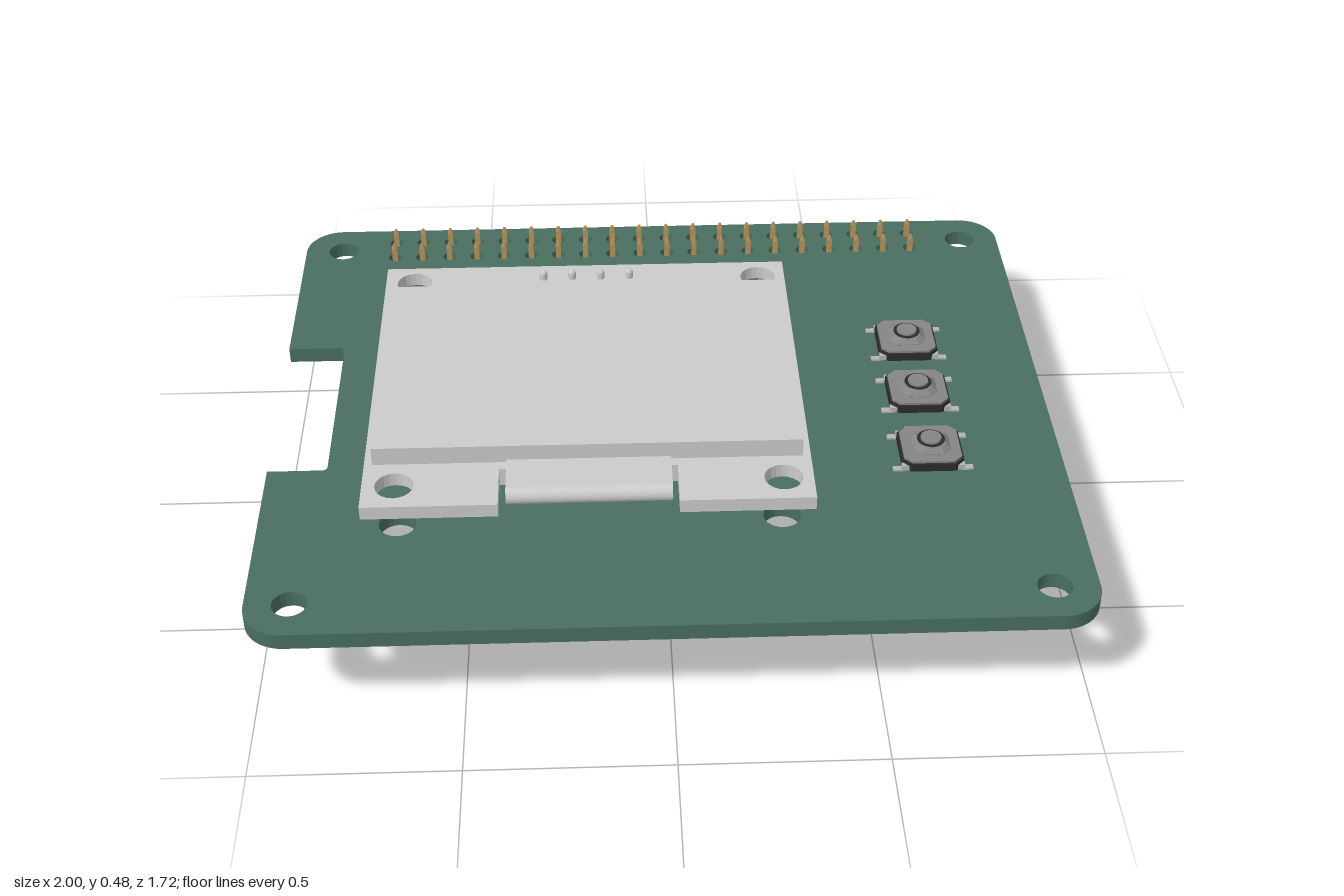
import * as THREE from 'three';

const material = (color) => new THREE.MeshStandardMaterial({ color });
const grey = material(0xcccccc);
const green = material(0x4a6e60);
const black = material(0x2c2c2c);
const gold = material(0xb8945a);
const steel = material(0x858585);
const silver = material(0xb4b4b4);

function add(parent, name, geometry, mat, x = 0, y = 0, z = 0) {
  const mesh = new THREE.Mesh(geometry, mat);
  mesh.name = name;
  mesh.position.set(x, y, z);
  parent.add(mesh);
  return mesh;
}

// box given by its limits
function block(parent, name, mat, [x0, x1], [y0, y1], [z0, z1]) {
  return add(parent, name, new THREE.BoxGeometry(x1 - x0, y1 - y0, z1 - z0), mat,
    (x0 + x1) / 2, (y0 + y1) / 2, (z0 + z1) / 2);
}

// horizontal plate from an outline in (x, -z), standing on y = 0
function plate(shape, height) {
  return new THREE.ExtrudeGeometry(shape, { depth: height, bevelEnabled: false, curveSegments: 10 })
    .rotateX(-Math.PI / 2);
}

const polygon = (points) => new THREE.Shape(points.map(([x, z]) => new THREE.Vector2(x, -z)));

function roundHole(shape, x, z, r) {
  const hole = new THREE.Path();
  hole.absarc(x, -z, r, 0, Math.PI * 2, true);
  shape.holes.push(hole);
}

// square with cut corners
function cutSquare(half, cut) {
  const k = half - cut;
  return polygon([[-k, half], [k, half], [half, k], [half, -k], [k, -half], [-k, -half], [-half, -k], [-half, k]]);
}

const PITCH = 0.0782;
const headerX = Array.from({ length: 20 }, (_, i) => (i - 9.5) * PITCH);
const headerZ = [-0.795, -0.717];
const displayPinX = [-0.31, -0.232, -0.154, -0.076];
const displayHoles = [[-0.66, -0.4], [0.275, -0.4], [-0.66, 0.475], [0.275, 0.475]];

function buildBoard(group) {
  const W = 1, D = 0.86, R = 0.1;
  const s = new THREE.Shape();
  s.moveTo(-W + R, -D);
  s.lineTo(W - R, -D);
  s.absarc(W - R, -D + R, R, -Math.PI / 2, 0, false);
  s.absarc(W - R, D - R, R, 0, Math.PI / 2, false);
  s.absarc(-W + R, D - R, R, Math.PI / 2, Math.PI, false);
  // cable notch in the side
  s.lineTo(-W, 0.27);
  s.lineTo(-0.865, 0.27);
  s.quadraticCurveTo(-0.85, 0.27, -0.85, 0.255);
  s.lineTo(-0.85, -0.245);
  s.quadraticCurveTo(-0.85, -0.26, -0.865, -0.26);
  s.lineTo(-W, -0.26);
  s.absarc(-W + R, -D + R, R, Math.PI, Math.PI * 1.5, false);
  for (const x of [-0.893, 0.893]) for (const z of [-0.755, 0.755]) roundHole(s, x, z, 0.042);
  for (const [x, z] of displayHoles) roundHole(s, x, z, 0.046);
  for (const x of headerX) for (const z of headerZ) roundHole(s, x, z, 0.019);
  for (const x of displayPinX) roundHole(s, x, -0.41, 0.018);
  add(group, 'circuitBoard', plate(s, 0.042), green, 0, 0.268, 0);
}

function buildHeader(group) {
  const header = new THREE.Group();
  header.name = 'socketHeader';
  group.add(header);
  block(header, 'headerTop', black, [-0.78, 0.78], [0.2, 0.258], [-0.832, -0.676]);
  // lower body with the open sockets
  const s = polygon([[-0.78, -0.676], [0.78, -0.676], [0.78, -0.832], [-0.78, -0.832]]);
  const pinShape = new THREE.BoxGeometry(0.018, 0.16, 0.009);
  const pos = pinShape.attributes.position;
  for (let i = 0; i < pos.count; i++) if (pos.getY(i) > 0) pos.setX(i, pos.getX(i) * 0.8);
  // pointed end of each pin
  const tip = new THREE.CylinderGeometry(0.004, 0.0102, 0.015, 4).rotateY(Math.PI / 4).scale(1, 1, 0.6);
  for (const x of headerX) for (const z of headerZ) {
    const a = 0.015;
    s.holes.push(polygon([[x - a, z - a], [x + a, z - a], [x + a, z + a], [x - a, z + a]]));
    add(header, 'headerPin', pinShape, gold, x, 0.262, z);
    add(header, 'headerPinTip', tip, gold, x, 0.3495, z);
  }
  add(header, 'headerBody', plate(s, 0.2), black);
}

function buildDisplay(group) {
  const display = new THREE.Group();
  display.name = 'displayModule';
  group.add(display);
  // carrier with a cut-out for the ribbon
  const s = polygon([[-0.738, 0.555], [-0.41, 0.555], [-0.41, 0.42], [0.022, 0.42],
    [0.022, 0.555], [0.348, 0.555], [0.348, -0.473], [-0.738, -0.473]]);
  for (const [x, z] of displayHoles) roundHole(s, x, z, 0.047);
  add(display, 'displayCarrier', plate(s, 0.036), grey, 0, 0.393, 0);
  block(display, 'displayGlass', grey, [-0.718, 0.328], [0.429, 0.478], [-0.31, 0.393]);

  // ribbon folding round the carrier edge, section in (z, y)
  const r = new THREE.Shape();
  r.moveTo(0.36, 0.436);
  r.lineTo(0.36, 0.389);
  r.lineTo(0.497, 0.389);
  r.absarc(0.497, 0.4125, 0.0235, -Math.PI / 2, Math.PI / 2, false);
  const ribbon = new THREE.ExtrudeGeometry(r, { depth: 0.4, bevelEnabled: false, curveSegments: 8 })
    .rotateY(-Math.PI / 2);
  add(display, 'ribbon', ribbon, grey, 0.007, 0, 0);
  block(display, 'ribbonConnector', grey, [-0.44, 0.075], [0.362, 0.395], [0.315, 0.398]);

  // four pin strip that carries the display
  const spacer = plate(cutSquare(0.039, 0.018), 0.083);
  const pin = new THREE.CylinderGeometry(0.0105, 0.0105, 0.27, 12);
  const end = new THREE.SphereGeometry(0.0105, 12, 8);
  for (const x of displayPinX) {
    add(display, 'pinSpacer', spacer, grey, x, 0.31, -0.409);
    add(display, 'displayPin', pin, grey, x, 0.31, -0.411);
    for (const y of [0.175, 0.445]) add(display, 'displayPinEnd', end, grey, x, y, -0.411);
  }
}

function buildButton(group, z) {
  const button = new THREE.Group();
  button.name = 'pushButton';
  button.position.set(0.668, 0.31, z);
  group.add(button);
  add(button, 'buttonBase', plate(cutSquare(0.078, 0.022), 0.022), black, 0, 0.002, 0);
  add(button, 'buttonCover', plate(cutSquare(0.073, 0.02), 0.006), steel, 0, 0.024, 0);
  // sloping collar with eight sides
  const slope = new THREE.ExtrudeGeometry(cutSquare(0.034, 0.012),
    { depth: 0.001, bevelEnabled: true, bevelSegments: 1, bevelThickness: 0.012, bevelSize: 0.014 })
    .rotateX(-Math.PI / 2);
  add(button, 'buttonCollar', slope, steel, 0, 0.032, 0);
  add(button, 'plungerRing', new THREE.CylinderGeometry(0.035, 0.035, 0.004, 28), black, 0, 0.045, 0);
  add(button, 'plunger', new THREE.CylinderGeometry(0.026, 0.028, 0.012, 28), steel, 0, 0.046, 0);
  // bent solder legs
  for (const sx of [-1, 1]) for (const sz of [-1, 1]) {
    add(button, 'legFoot', new THREE.BoxGeometry(0.03, 0.005, 0.016), silver, sx * 0.086, 0.0025, sz * 0.065);
    add(button, 'legRiser', new THREE.BoxGeometry(0.022, 0.014, 0.016), silver, sx * 0.068, 0.009, sz * 0.065);
  }
}

export function createModel() {
  const group = new THREE.Group();
  group.name = 'displayBoard';
  buildBoard(group);
  buildHeader(group);
  buildDisplay(group);
  for (const z of [-0.232, 0, 0.243]) buildButton(group, z);
  return group;
}
